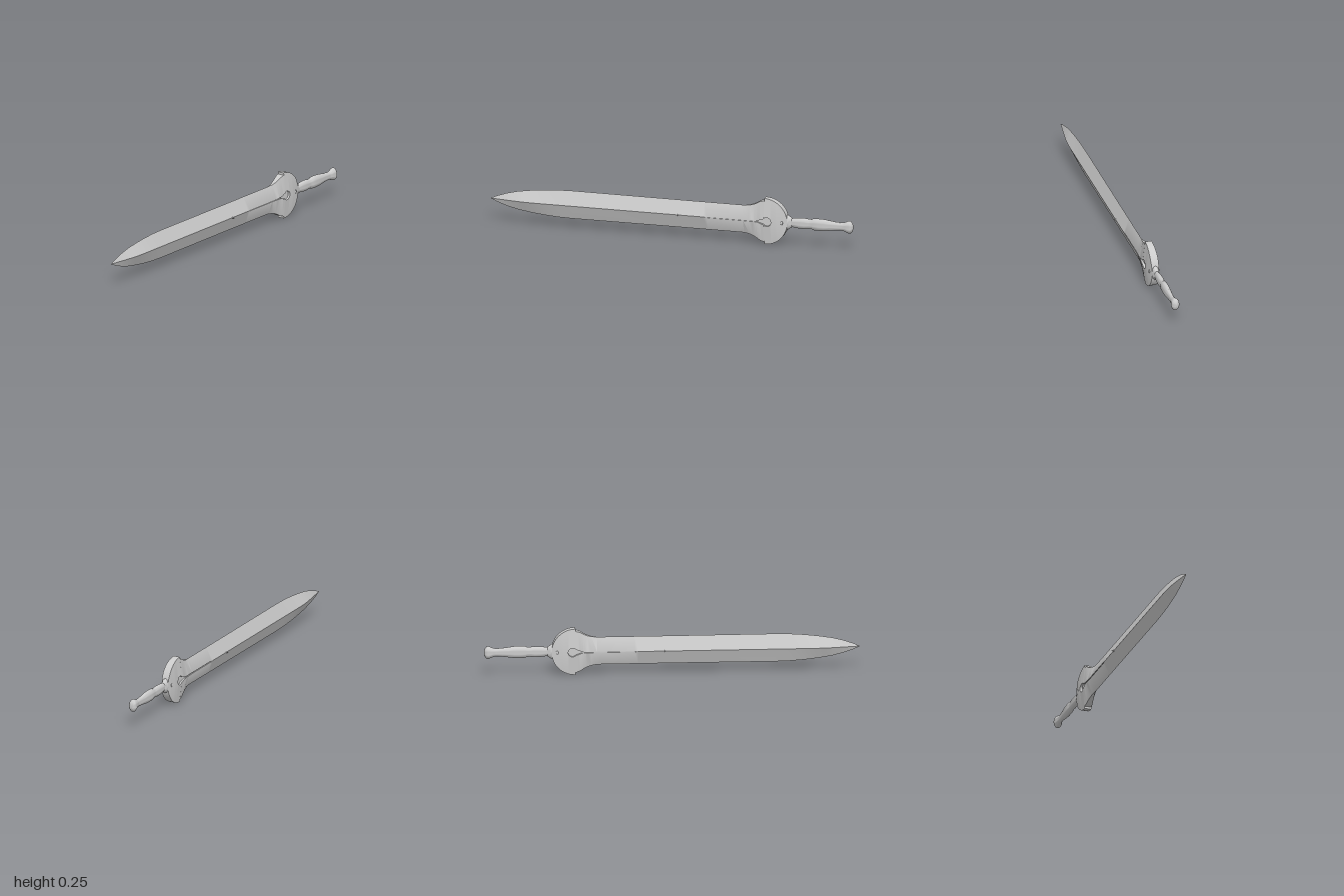
import * as THREE from 'three';
import { toCreasedNormals } from 'three/addons/utils/BufferGeometryUtils.js';

const MID = 0.1265; // height of the sword's long axis
const material = new THREE.MeshStandardMaterial({ color: 0xcccccc, side: THREE.DoubleSide });

// Piecewise linear lookup in a table of [z, value], z ascending
function lookup(table, z) {
  if (z <= table[0][0]) return table[0][1];
  for (let i = 1; i < table.length; i++) {
    const [z0, a] = table[i - 1], [z1, b] = table[i];
    if (z <= z1) return a + (b - a) * (z - z0) / (z1 - z0);
  }
  return table[table.length - 1][1];
}

// Half height of the blade edge, flaring into the guard
const EDGE = [
  [-0.513, 0.114], [-0.49, 0.107], [-0.47, 0.095], [-0.45, 0.086], [-0.43, 0.08], [-0.4, 0.076],
  [0, 0.076], [0.55, 0.077], [0.63, 0.075], [0.7, 0.07], [0.78, 0.061], [0.85, 0.05],
  [0.91, 0.035], [0.96, 0.018], [1, 0],
];
// Half thickness along the central ridge
const RIDGE = [
  [-0.641, 0.019], [-0.62, 0.025], [-0.58, 0.032], [-0.5, 0.032], [-0.4, 0.03],
  [0.75, 0.03], [0.82, 0.027], [0.9, 0.016], [1, 0],
];
// Half thickness of the cutting edge, flat only at the flare
const BLUNT = [[-0.513, 0.02], [-0.46, 0.012], [-0.4, 0.0005], [-0.38, 0], [1, 0]];
// Half width of the fuller's straight part
const FULLER = [[-0.505, 0.014], [-0.48, 0.004], [-0.46, 0.0025], [-0.2, 0.0025], [-0.18, 0]];

const GUARD_Z = -0.5145, GUARD_R = 0.1265, EYE_Z = -0.53, EYE_R = 0.024;

function section(z) {
  const ridge = lookup(RIDGE, z);
  let h, e;
  if (z < GUARD_Z) {
    h = Math.sqrt(Math.max(0, GUARD_R ** 2 - (z - GUARD_Z) ** 2));
    e = ridge + (0.018 - ridge) * h / GUARD_R;
  } else {
    h = lookup(EDGE, z);
    e = lookup(BLUNT, z);
  }
  // recess: round eye running out into a narrow fuller
  const inside = z >= EYE_Z - EYE_R - 1e-6 && z <= -0.18;
  const eye = Math.sqrt(Math.max(0, EYE_R ** 2 - (z - EYE_Z) ** 2));
  const n = inside ? Math.max(eye, z > EYE_Z + 0.01 ? lookup(FULLER, z) : 0) : 0;
  const surface = h > 0 ? ridge + (e - ridge) * n / h : ridge;
  const depth = inside ? lookup([[-0.5, 0.014], [-0.46, 0.005], [-0.2, 0.005], [-0.18, 0]], z) : 0;
  return [[ridge - depth, 0], [ridge - depth, n], [surface, n], [e, h]];
}

// Blade and guard as one loft of mirrored quarter sections
function bladeGeometry() {
  const zs = [...EDGE, ...RIDGE, ...BLUNT, ...FULLER].map((p) => p[0]);
  zs.push(GUARD_Z - 0.0001, GUARD_Z, EYE_Z - EYE_R - 0.0001);
  for (let i = 0; i <= 18; i++) {
    zs.push(GUARD_Z - GUARD_R * Math.sin(i / 18 * Math.PI / 2));
    zs.push(EYE_Z - EYE_R * Math.cos(i / 18 * Math.PI));
  }
  zs.sort((a, b) => a - b);
  const positions = [], index = [];
  for (const z of zs) {
    const q = section(z), r = [...q].reverse();
    const ring = [
      ...q, ...r.map(([x, y]) => [-x, y]),
      ...q.map(([x, y]) => [-x, -y]), ...r.map(([x, y]) => [x, -y]),
    ];
    for (const [x, y] of ring) positions.push(x, y, z);
  }
  for (let i = 0; i < zs.length - 1; i++) {
    for (let j = 0; j < 16; j++) {
      const a = i * 16 + j, b = i * 16 + (j + 1) % 16;
      index.push(a, b, b + 16, a, b + 16, a + 16);
    }
  }
  const geometry = new THREE.BufferGeometry();
  geometry.setAttribute('position', new THREE.Float32BufferAttribute(positions, 3));
  geometry.setIndex(index);
  return toCreasedNormals(geometry, 0.4);
}

// Oval turned part along the axis; profile is [radius, distance behind the centre]
function turned(name, profile, flatten) {
  const points = profile.map(([r, d]) => new THREE.Vector2(r, -d));
  const geometry = new THREE.LatheGeometry(points.reverse(), 24);
  geometry.rotateX(Math.PI / 2);
  geometry.scale(flatten, 1, 1);
  const mesh = new THREE.Mesh(toCreasedNormals(geometry, 0.7), material);
  mesh.name = name;
  return mesh;
}

export function createModel() {
  const group = new THREE.Group();
  group.name = 'sword';
  const sword = new THREE.Group();
  sword.name = 'swordParts';
  sword.position.y = MID;
  group.add(sword);

  const blade = new THREE.Mesh(bladeGeometry(), material);
  blade.name = 'bladeAndGuard';
  sword.add(blade);

  // Pointed stud through the blade
  const gem = new THREE.Mesh(new THREE.OctahedronGeometry(1), material);
  gem.geometry.scale(0.045, 0.014, 0.014);
  gem.position.z = -0.04;
  gem.name = 'bladeStud';
  sword.add(gem);

  // Small rivets on both faces of the guard
  for (const side of [-1, 1]) {
    const rivet = new THREE.Mesh(new THREE.SphereGeometry(1, 12, 8), material);
    rivet.scale.set(0.004, 0.01, 0.007);
    rivet.position.set(side * 0.026, 0, -0.612);
    rivet.name = 'guardRivet';
    sword.add(rivet);
  }

  sword.add(turned('collar', [
    [0, 0.625], [0.04, 0.63], [0.04, 0.642], [0.033, 0.65], [0.03, 0.658], [0.022, 0.664], [0, 0.664],
  ], 0.5));

  sword.add(turned('grip', [
    [0.022, 0.655], [0.025, 0.67], [0.029, 0.7], [0.03, 0.73], [0.027, 0.755], [0.027, 0.772],
    [0.032, 0.78], [0.033, 0.81], [0.032, 0.84], [0.028, 0.87], [0.024, 0.9], [0.022, 0.93], [0.023, 0.95],
  ], 0.58));

  sword.add(turned('pommel', [
    [0.022, 0.94], [0.026, 0.955], [0.033, 0.97], [0.035, 0.978], [0.033, 0.986],
    [0.024, 0.994], [0.012, 0.999], [0, 1],
  ], 0.64));

  return group;
}
